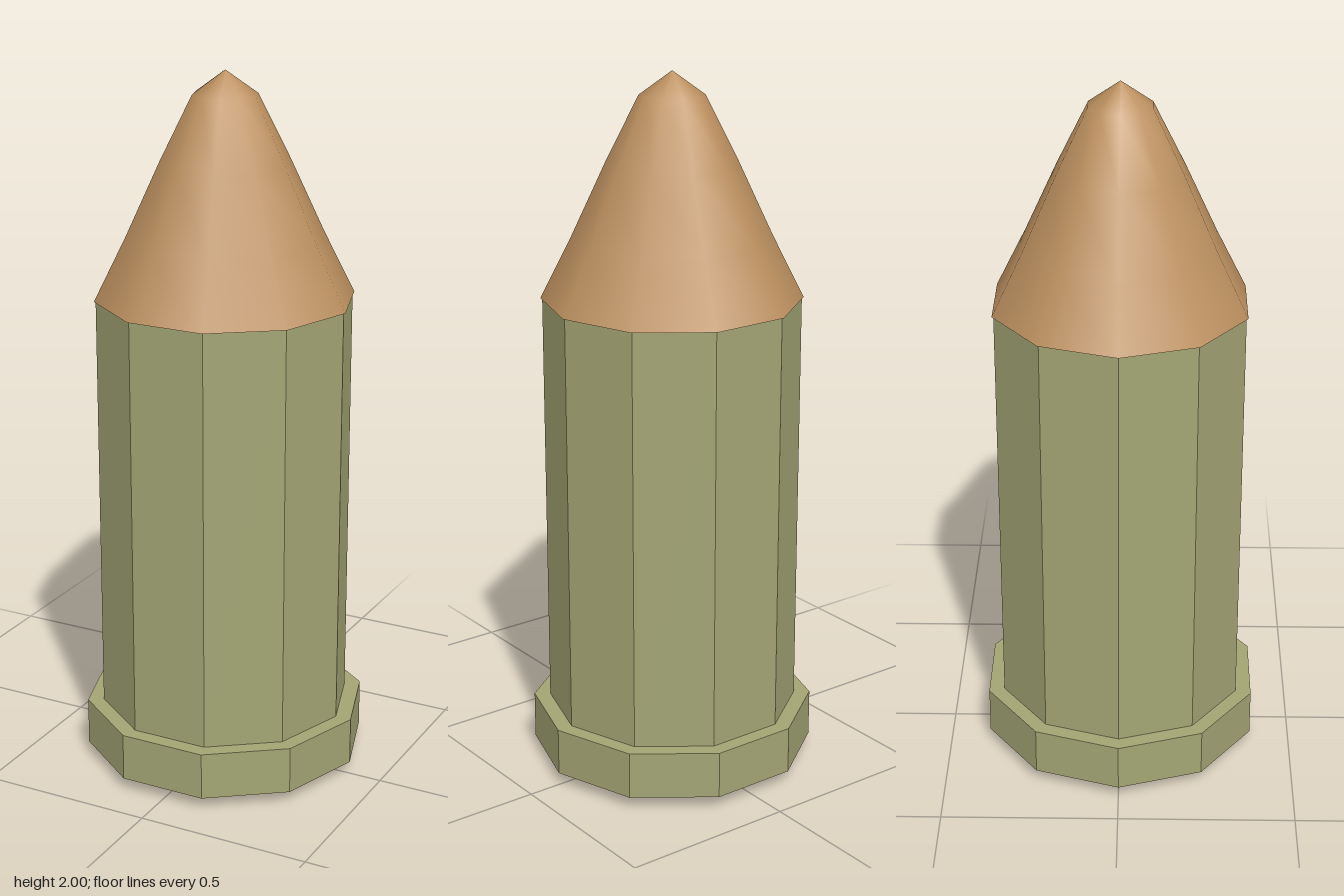
import * as THREE from 'three';

const SIDES = 10;
const GREEN = 0xa3a574, COPPER = 0xbd9160, GREY = 0xcccccc;

export function createModel() {
  const model = new THREE.Group();
  model.name = 'cartridge';

  function add(name, geometry, color, flatShading) {
    const material = new THREE.MeshStandardMaterial({ color, flatShading });
    const mesh = new THREE.Mesh(geometry, material);
    mesh.name = name;
    model.add(mesh);
  }

  // Faceted ten-sided prism between two heights, with corners on the x axis
  function addPrism(name, radius, bottom, top, color) {
    const geometry = new THREE.CylinderGeometry(radius, radius, top - bottom, SIDES, 1, false, Math.PI / 2);
    geometry.translate(0, (bottom + top) / 2, 0);
    add(name, geometry, color, true);
  }

  // Base: primer, copper disc and rim, then the long casing
  addPrism('primer', 0.088, 0, 0.03, GREY);
  addPrism('baseDisc', 0.265, 0.02, 0.045, COPPER);
  addPrism('rim', 0.404, 0.036, 0.172, GREEN);
  addPrism('casing', 0.358, 0.172, 1.374, GREEN);

  // Smooth tapering nose with a blunt tip
  const profile = [[0.363, 1.374], [0.275, 1.55], [0.18, 1.755], [0.09, 1.935], [0, 2]]
    .map(([r, y]) => new THREE.Vector2(r, y));
  add('nose', new THREE.LatheGeometry(profile, SIDES, Math.PI / 2), COPPER, false);

  // Underside of the nose, overhanging the casing slightly
  const underside = new THREE.CircleGeometry(0.363, SIDES);
  underside.rotateX(Math.PI / 2).translate(0, 1.374, 0);
  add('noseUnderside', underside, COPPER, true);

  return model;
}
